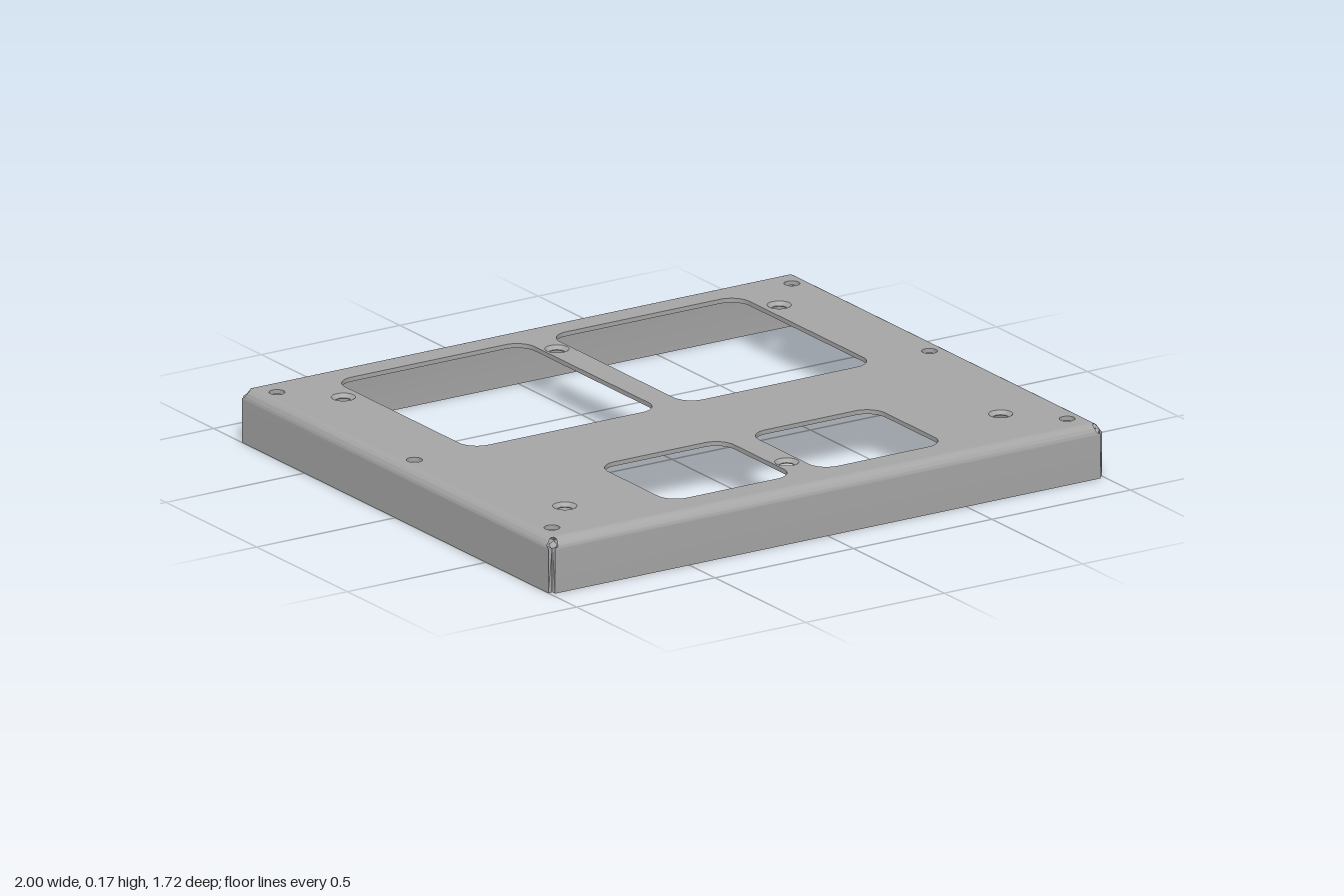
import * as THREE from 'three';
import { toCreasedNormals } from 'three/addons/utils/BufferGeometryUtils.js';

const W = 1, D = 0.859, H = 0.172; // half width, half depth, height
const T = 0.014, R = 0.035;        // sheet thickness, outer bend radius
const HOLE = 0.024, SINK = 0.037;  // bolt hole and countersink radii
const RELIEF = 0.018;              // radius of the corner relief holes

function roundedRect(x0, y0, x1, y1, r) {
  const p = new THREE.Path();
  p.moveTo(x0 + r, y0);
  p.lineTo(x1 - r, y0);
  p.absarc(x1 - r, y0 + r, r, -Math.PI / 2, 0);
  p.lineTo(x1, y1 - r);
  p.absarc(x1 - r, y1 - r, r, 0, Math.PI / 2);
  p.lineTo(x0 + r, y1);
  p.absarc(x0 + r, y1 - r, r, Math.PI / 2, Math.PI);
  p.lineTo(x0, y0 + r);
  p.absarc(x0 + r, y0 + r, r, Math.PI, Math.PI * 1.5);
  return p;
}

function circle(x, z, r) {
  const p = new THREE.Path();
  p.absarc(x, -z, r, 0, Math.PI * 2);
  return p;
}

// Wall with a bent top edge: faces +z, runs along x
function flangeGeometry(half, out) {
  const s = new THREE.Shape();
  s.moveTo(out - R, H - T);
  s.absarc(out - R, H - R, R - T, Math.PI / 2, 0, true);
  s.lineTo(out - T, 0);
  s.lineTo(out, 0);
  s.lineTo(out, H - R);
  s.absarc(out - R, H - R, R, 0, Math.PI / 2);
  s.closePath();
  const g = new THREE.ExtrudeGeometry(s, { depth: 2, bevelEnabled: false, curveSegments: 18 });
  g.translate(0, 0, -1);
  g.rotateY(-Math.PI / 2);
  // Shape the ends: a round relief centred on the bend, mitred towards the plate
  const p = g.attributes.position;
  const bendLength = (R - T / 2) * Math.PI / 2;
  for (let i = 0; i < p.count; i++) {
    const dz = p.getZ(i) - (out - R);
    const angle = Math.max(0, Math.atan2(p.getY(i) - (H - R), dz));
    const along = (angle / (Math.PI / 2) - 0.5) * bendLength;
    const cut = Math.sqrt(Math.max(0, RELIEF ** 2 - along ** 2));
    const end = Math.min(half - T - 0.001 - cut, half - R + dz);
    p.setX(i, Math.sign(p.getX(i)) * end);
  }
  return toCreasedNormals(g, 0.5);
}

export function createModel() {
  const group = new THREE.Group();
  const material = new THREE.MeshStandardMaterial({ color: 0xa5a5a5 });
  const add = (geometry, name) => {
    const mesh = new THREE.Mesh(geometry, material);
    mesh.name = name;
    group.add(mesh);
    return mesh;
  };

  const boltHoles = [], sinks = [[0, -0.634], [0, 0.632]];
  for (const s of [-1, 1]) {
    for (const z of [-0.758, 0, 0.758]) boltHoles.push([s * 0.93, z]);
    for (const z of [-0.61, 0.61]) sinks.push([s * 0.787, z]);
  }

  // Top plate with four windows and the bolt holes
  const x = W - R, z = D - R;
  const shape = new THREE.Shape([[-x, -z], [x, -z], [x, z], [-x, z]].map(([a, b]) => new THREE.Vector2(a, b)));
  shape.holes.push(
    roundedRect(0.045, -0.004, 0.73, 0.752, 0.065),
    roundedRect(-0.73, -0.004, -0.045, 0.752, 0.065),
    roundedRect(0.045, -0.748, 0.5, -0.346, 0.065),
    roundedRect(-0.5, -0.748, -0.045, -0.346, 0.065),
    ...boltHoles.map(([a, b]) => circle(a, b, HOLE)),
    ...sinks.map(([a, b]) => circle(a, b, SINK)),
  );
  const plate = new THREE.ExtrudeGeometry(shape, { depth: T, bevelEnabled: false, curveSegments: 16 });
  plate.rotateX(-Math.PI / 2);
  plate.translate(0, H - T, 0);
  add(toCreasedNormals(plate, 0.5), 'topPlate');

  // Conical seats of the countersunk holes, open where they meet the plate
  const seat = toCreasedNormals(new THREE.LatheGeometry([
    [SINK, 0], [HOLE, 0], [HOLE, 0.003], [SINK, T],
  ].map(([a, b]) => new THREE.Vector2(a, b)), 32), 0.5);
  const seatMaterial = material.clone();
  seatMaterial.side = THREE.DoubleSide;
  for (const [a, b] of sinks) {
    const mesh = add(seat, 'countersink');
    mesh.material = seatMaterial;
    mesh.position.set(a, H - T, b);
  }

  // Folded walls on all four sides
  const long = flangeGeometry(W, D), short = flangeGeometry(D, W);
  add(long, 'frontFlange');
  add(short, 'leftFlange').rotation.y = Math.PI / 2;
  add(long, 'backFlange').rotation.y = Math.PI;
  add(short, 'rightFlange').rotation.y = -Math.PI / 2;

  return group;
}
